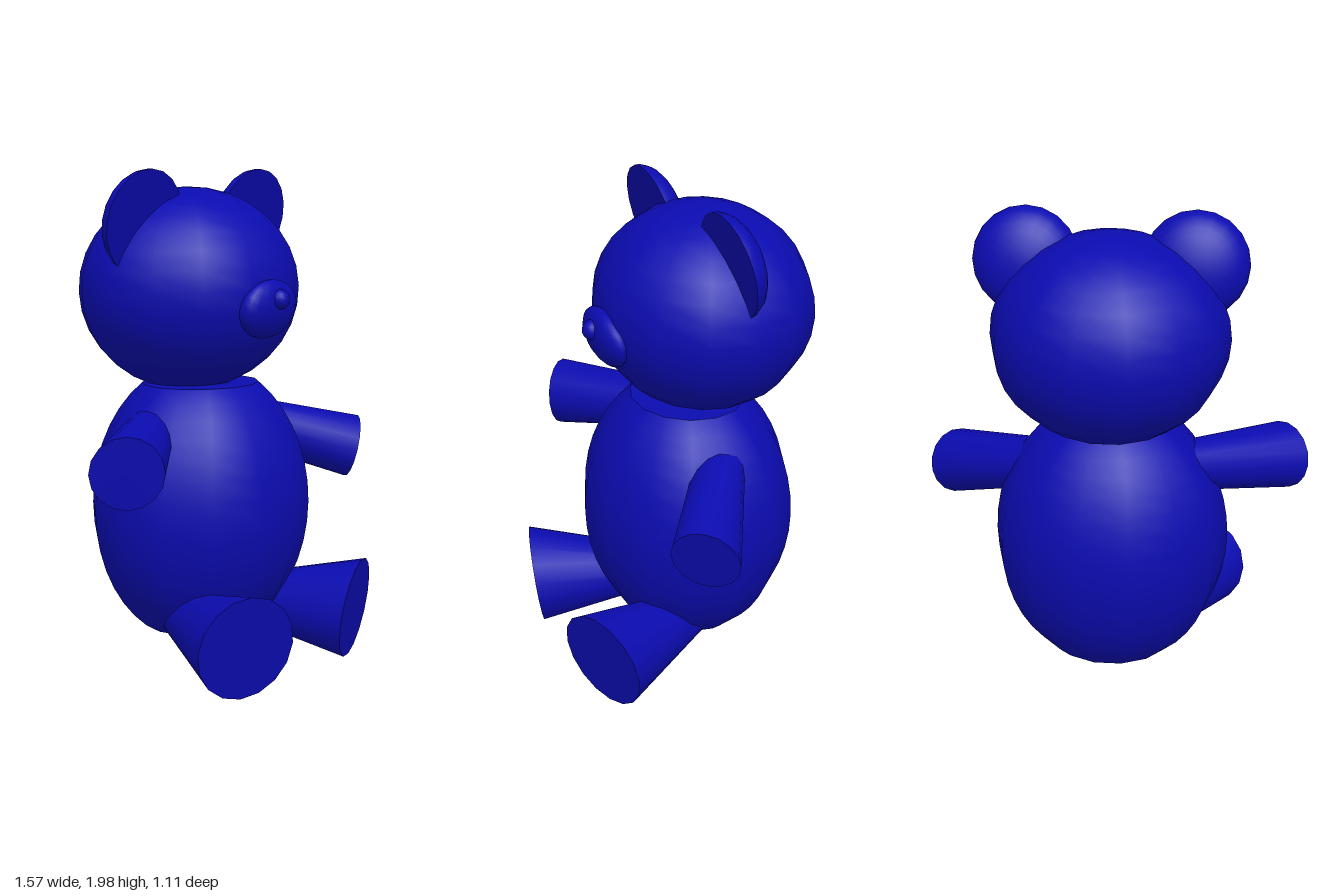
import * as THREE from 'three';
import { toCreasedNormals } from 'three/addons/utils/BufferGeometryUtils.js';

const fur = new THREE.MeshStandardMaterial({ color: 0x0b0bb0 });

export function createModel() {
  const model = new THREE.Group();
  model.name = 'teddyBear';

  function add(name, geometry, position = [0, 0, 0], scale = [1, 1, 1], tilt = 0) {
    const mesh = new THREE.Mesh(geometry, fur);
    mesh.name = name;
    mesh.position.set(...position);
    mesh.scale.set(...scale);
    mesh.rotation.x = tilt;
    model.add(mesh);
    return mesh;
  }

  // Tapered limb whose end discs face along a chosen normal
  function limb(name, start, end, normal, r0, r1) {
    const a = new THREE.Vector3(...start), b = new THREE.Vector3(...end);
    const turn = new THREE.Quaternion().setFromUnitVectors(
      new THREE.Vector3(0, 1, 0), new THREE.Vector3(...normal).normalize());
    const geometry = new THREE.CylinderGeometry(1, 1, 1, 16, 1);
    const pos = geometry.attributes.position;
    const p = new THREE.Vector3(), centre = new THREE.Vector3();
    for (let i = 0; i < pos.count; i++) {
      p.fromBufferAttribute(pos, i);
      const t = p.y + 0.5;
      p.y = 0;
      p.multiplyScalar(r0 + (r1 - r0) * t).applyQuaternion(turn);
      p.add(centre.lerpVectors(a, b, t));
      pos.setXYZ(i, p.x, p.y, p.z);
    }
    add(name, toCreasedNormals(geometry, 0.7));
  }

  // Body: ellipsoid cut flat at the neck and the seat
  const cut = 0.56;
  add('body', new THREE.SphereGeometry(1, 14, 14, 0, Math.PI * 2, cut, Math.PI - 2 * cut),
    [0.005, 0.635, -0.06], [0.475, 0.59, 0.425]);
  for (const side of [1, -1]) {
    const disc = new THREE.CircleGeometry(Math.sin(cut), 14);
    disc.rotateX(-side * Math.PI / 2);
    add(side > 0 ? 'neckCap' : 'seatCap', disc,
      [0.005, 0.635 + side * 0.59 * Math.cos(cut), -0.06], [0.475, 1, 0.425]);
  }

  // Head, snout and nose
  add('head', new THREE.SphereGeometry(1, 14, 16), [0.005, 1.51, -0.125], [0.465, 0.41, 0.436], -0.04);
  add('snout', new THREE.SphereGeometry(1, 16, 12), [0.003, 1.45, 0.29], [0.16, 0.117, 0.062], 0.2);
  add('nose', new THREE.SphereGeometry(0.04, 14, 10), [0.005, 1.49, 0.345]);

  // Ears: flat front, domed back, leaning forward
  const dome = [];
  for (let i = 0; i <= 8; i++) {
    const a = (i / 8) * Math.PI / 2;
    dome.push(new THREE.Vector2(Math.sin(a) * 0.205, -0.11 * Math.cos(a)));
  }
  dome.push(new THREE.Vector2(0, 0));
  const ear = toCreasedNormals(new THREE.LatheGeometry(dome, 20).rotateX(Math.PI / 2), 0.8);
  add('leftEar', ear, [0.332, 1.79, -0.06], [1, 1, 1], 0.2);
  add('rightEar', ear, [-0.317, 1.785, -0.06], [1, 1, 1], 0.2);

  // Arms, the left one hanging a little lower
  limb('leftArm', [0.28, 0.945, -0.07], [0.688, 0.807, 0.21], [0.71, -0.22, 0.67], 0.1, 0.135);
  limb('rightArm', [-0.28, 0.955, -0.08], [-0.694, 0.892, 0.2], [-0.71, -0.1, 0.7], 0.1, 0.14);

  // Legs, splayed forwards
  for (const [name, side] of [['leftLeg', 1], ['rightLeg', -1]]) {
    limb(name, [side * 0.18, 0.21, -0.02], [side * 0.35 - 0.008, 0.212, 0.485],
      [side * 0.34, -0.13, 0.93], 0.085, 0.207);
  }
  return model;
}
